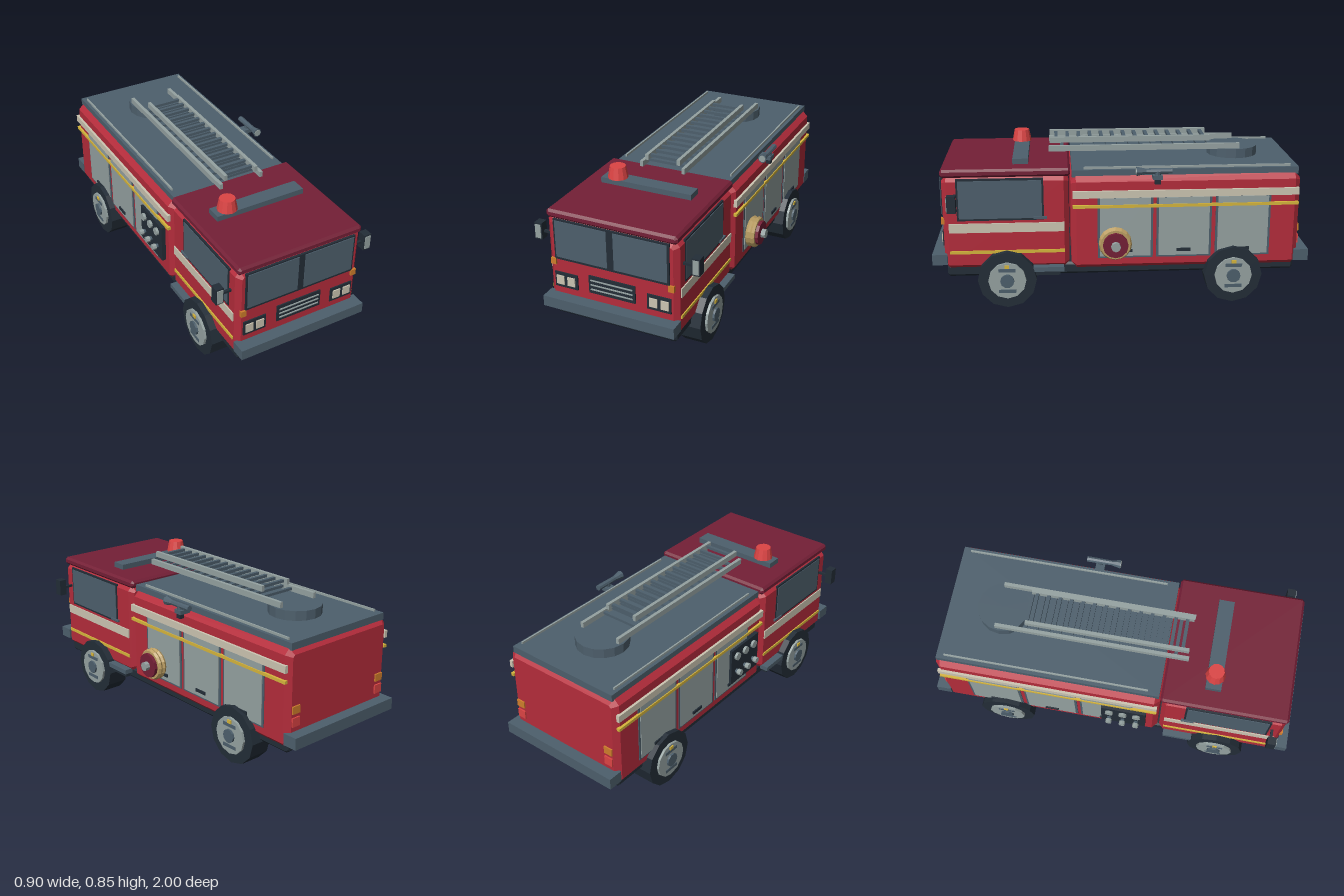
import * as THREE from 'three';

const mat = (name, color) => Object.assign(new THREE.MeshStandardMaterial({ color }), { name });
const M = {
  red: mat('body red', 0xb42c3b),
  maroon: mat('roof maroon', 0x741f36),
  slate: mat('slate', 0x4d5f6c),
  dark: mat('charcoal', 0x232d37),
  grey: mat('light metal', 0x95a2a1),
  cream: mat('cream', 0xccc5b2),
  yellow: mat('yellow', 0xd6b53c),
  orange: mat('amber', 0xcf7d2c),
  lamp: mat('signal red', 0xdc4444),
  hose: mat('hose tan', 0xba9d62),
};

export function createModel() {
  const root = new THREE.Group();
  root.name = 'fireEngine';
  const truck = new THREE.Group();
  truck.name = 'truck';
  truck.position.x = -0.007; // side fittings shift the overall centre
  root.add(truck);

  const add = (name, geo, m, x = 0, y = 0, z = 0) => {
    const mesh = new THREE.Mesh(geo, m);
    mesh.name = name;
    mesh.position.set(x, y, z);
    truck.add(mesh);
    return mesh;
  };
  // box from its min and max on each axis
  const box = (name, m, x0, x1, y0, y1, z0, z1) =>
    add(name, new THREE.BoxGeometry(Math.abs(x1 - x0), y1 - y0, z1 - z0), m,
      (x0 + x1) / 2, (y0 + y1) / 2, (z0 + z1) / 2);
  // box with all edges chamfered by c
  const chamfer = (name, m, hw, y0, y1, z0, z1, c) => {
    const a = hw - c, b = (y1 - y0) / 2 - c, k = c * 0.414;
    const shape = new THREE.Shape([
      [a - k, -b], [a, -b + k], [a, b - k], [a - k, b],
      [-a + k, b], [-a, b - k], [-a, -b + k], [-a + k, -b],
    ].map(([x, y]) => new THREE.Vector2(x, y)));
    const geo = new THREE.ExtrudeGeometry(shape, {
      depth: z1 - z0 - 2 * c, bevelEnabled: true, bevelSegments: 1, bevelSize: c, bevelThickness: c,
    });
    return add(name, geo, m, 0, (y0 + y1) / 2, z0 + c);
  };
  const flat = (geo) => {
    const g = geo.toNonIndexed();
    g.computeVertexNormals();
    return g;
  };
  // faceted cylinder along an axis; r1 is the radius at the positive end
  const cyl = (name, m, axis, r0, r1, len, sides, x, y, z) => {
    const g = new THREE.CylinderGeometry(r1, r0, len, sides);
    if (axis === 'x') g.rotateZ(-Math.PI / 2);
    if (axis === 'z') g.rotateX(Math.PI / 2);
    return add(name, flat(g), m, x, y, z);
  };

  // main volumes
  chamfer('chassis', M.dark, 0.335, 0.16, 0.225, -0.925, 0.925, 0.012);
  chamfer('cab', M.red, 0.352, 0.205, 0.71, 0.28, 0.935, 0.025);
  chamfer('cabRoof', M.maroon, 0.35, 0.705, 0.748, 0.27, 0.94, 0.012);
  chamfer('rearBody', M.red, 0.355, 0.19, 0.7, -0.94, 0.27, 0.028);
  box('roofDeck', M.slate, -0.328, 0.328, 0.693, 0.73, -0.93, 0.262);
  box('frontBumper', M.slate, -0.358, 0.358, 0.235, 0.292, 0.92, 1);
  box('rearBumper', M.slate, -0.356, 0.356, 0.215, 0.277, -1, -0.92);

  // windshield
  box('windshieldFrame', M.dark, -0.31, 0.31, 0.486, 0.705, 0.93, 0.942);
  // grille
  box('grille', M.dark, -0.127, 0.127, 0.337, 0.433, 0.93, 0.942);
  for (const y of [0.36, 0.385, 0.41]) box('grilleBar', M.grey, -0.115, 0.115, y - 0.003, y + 0.003, 0.94, 0.947);

  for (const s of [-1, 1]) {
    // front face details
    box('windshieldPane', M.slate, s * 0.018, s * 0.3, 0.5, 0.698, 0.94, 0.946);
    box('headlightPanel', M.dark, s * 0.19, s * 0.317, 0.33, 0.412, 0.93, 0.942);
    for (const x of [0.204, 0.264]) box('headlight', M.cream, s * x, s * (x + 0.042), 0.347, 0.395, 0.94, 0.948);
    box('turnSignal', M.orange, s * 0.305, s * 0.334, 0.453, 0.487, 0.92, 0.945);

    // rear lights
    box('rearSignal', M.orange, s * 0.275, s * 0.325, 0.372, 0.412, -0.948, -0.935);
    box('tailLight', M.lamp, s * 0.275, s * 0.325, 0.305, 0.352, -0.948, -0.935);

    // cab side
    box('sideWindowFrame', M.dark, s * 0.345, s * 0.355, 0.475, 0.7, 0.41, 0.86);
    box('sideWindow', M.slate, s * 0.35, s * 0.358, 0.486, 0.69, 0.42, 0.85);
    box('doorHandle', M.slate, s * 0.35, s * 0.364, 0.482, 0.494, 0.395, 0.465);
    box('cabStripe', M.cream, s * 0.348, s * 0.358, 0.41, 0.46, 0.305, 0.905);
    box('cabPinstripe', M.yellow, s * 0.348, s * 0.358, 0.293, 0.31, 0.305, 0.905);
    box('step', M.slate, s * 0.3, s * 0.385, 0.195, 0.22, 0.31, 0.495);
    box('stepBracket', M.dark, s * 0.3, s * 0.365, 0.168, 0.197, 0.33, 0.475);

    // mirror
    box('mirrorArm', M.dark, s * 0.34, s * 0.405, 0.579, 0.591, 0.868, 0.882);
    box('mirrorHousing', M.dark, s * 0.405, s * 0.446, 0.545, 0.635, 0.855, 0.9);
    box('mirrorFace', M.grey, s * 0.41, s * 0.442, 0.553, 0.627, 0.899, 0.904);

    // rear body stripes and shutters
    box('bodyStripe', M.cream, s * 0.35, s * 0.368, 0.588, 0.626, -0.93, 0.26);
    box('bodyPinstripe', M.yellow, s * 0.35, s * 0.368, 0.534, 0.55, -0.93, 0.26);
    for (const z of [-0.638, -0.325, -0.015]) {
      box('shutterFrame', M.slate, s * 0.35, s * 0.359, 0.255, 0.588, z - 0.146, z + 0.146);
      box('shutter', M.grey, s * 0.352, s * 0.363, 0.265, 0.585, z - 0.134, z + 0.134);
      box('shutterHandle', M.dark, s * 0.36, s * 0.37, 0.288, 0.304, z - 0.037, z + 0.037);
    }

    // thin rail along the roof deck edge
    box('deckRail', M.grey, s * 0.302, s * 0.31, 0.729, 0.742, -0.89, 0.2);

    // wheels
    for (const z of [0.61, -0.59]) {
      cyl('tire', M.dark, 'x', 0.155, 0.155, 0.118, 12, s * 0.33, 0.155, z);
      cyl('rim', M.grey, 'x', 0.1, 0.1, 0.02, 12, s * 0.392, 0.155, z);
      cyl('hub', M.slate, 'x', 0.037, 0.037, 0.03, 10, s * 0.398, 0.155, z);
      for (const d of [-0.058, 0.058])
        box('rimSlot', M.slate, s * 0.396, s * 0.405, 0.146 + d, 0.164 + d, z - 0.045, z + 0.045);
      box('rimMarker', M.yellow, s * 0.396, s * 0.408, 0.224, 0.242, z - 0.012, z + 0.012);
    }

    // two ladder sections: side rails
    box('lowerLadderRail', M.grey, s * 0.109, s * 0.127, 0.782, 0.812, -0.65, 0.38);
    box('upperLadderRail', M.grey, s * 0.08, s * 0.098, 0.822, 0.852, -0.49, 0.375);
  }

  // ladder rungs
  for (let i = 0; i < 14; i++) {
    const z = 0.34 - i * 0.0615;
    box('upperLadderRung', M.slate, -0.085, 0.085, 0.83, 0.845, z - 0.009, z + 0.009);
    box('lowerLadderRung', M.slate, -0.114, 0.114, 0.79, 0.804, z - 0.04, z - 0.022);
  }
  cyl('turntable', M.slate, 'y', 0.138, 0.138, 0.055, 16, 0, 0.753, -0.63);

  // light bar and beacon
  box('lightBar', M.slate, -0.25, 0.25, 0.746, 0.777, 0.488, 0.57);
  cyl('beacon', M.lamp, 'y', 0.053, 0.041, 0.062, 12, -0.173, 0.808, 0.53);

  // hose reel on the left side
  for (const x of [0.377, 0.401]) {
    const g = new THREE.TorusGeometry(0.072, 0.015, 6, 16);
    g.rotateY(Math.PI / 2);
    add('hoseCoil', flat(g), M.hose, x, 0.346, 0.04);
  }
  cyl('reelDrum', M.maroon, 'x', 0.067, 0.067, 0.075, 12, 0.394, 0.346, 0.04);
  cyl('reelHub', M.grey, 'x', 0.025, 0.025, 0.03, 8, 0.441, 0.346, 0.04);

  // water cannon beside the roof deck
  box('cannonBracket', M.slate, 0.32, 0.395, 0.69, 0.712, -0.205, -0.155);
  box('cannonFoot', M.dark, 0.365, 0.39, 0.665, 0.692, -0.195, -0.165);
  cyl('cannonPivot', M.slate, 'y', 0.016, 0.016, 0.03, 8, 0.377, 0.72, -0.18);
  cyl('cannonBarrel', M.slate, 'z', 0.016, 0.014, 0.14, 8, 0.377, 0.733, -0.185);
  cyl('cannonNozzle', M.slate, 'z', 0.014, 0.025, 0.05, 8, 0.377, 0.733, -0.095);
  cyl('cannonMouth', M.grey, 'z', 0.019, 0.019, 0.006, 8, 0.377, 0.733, -0.07);

  // pump panel on the right side
  box('pumpPanel', M.dark, -0.378, -0.35, 0.3, 0.515, -0.04, 0.205);
  for (const z of [0.005, 0.08, 0.155]) {
    cyl('pumpGauge', M.grey, 'x', 0.022, 0.022, 0.016, 10, -0.384, 0.467, z);
    cyl('pumpOutletNeck', M.slate, 'x', 0.012, 0.012, 0.03, 8, -0.385, 0.37, z);
    cyl('pumpOutlet', M.grey, 'x', 0.017, 0.017, 0.022, 8, -0.402, 0.37, z);
  }

  return root;
}
